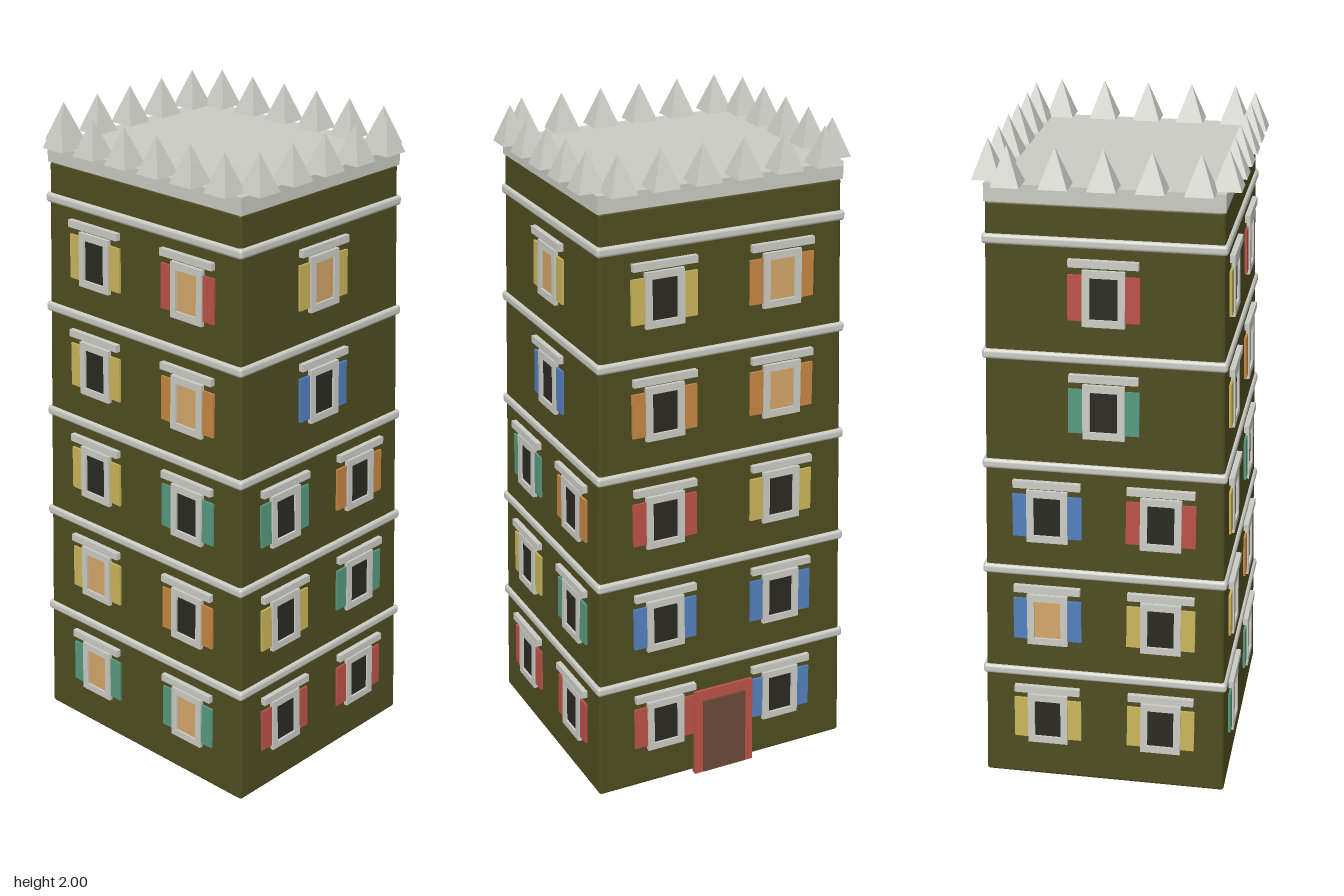
import * as THREE from 'three';
import { RoundedBoxGeometry } from 'three/addons/geometries/RoundedBoxGeometry.js';

const mat = (name, color) => {
  const m = new THREE.MeshStandardMaterial({ color });
  m.name = name;
  return m;
};

export function createModel() {
  const wall = mat('oliveWall', 0x4f4d20);
  const trim = mat('paleStone', 0xcbcbc5);
  const dark = mat('darkPane', 0x2a2a22);
  const lit = mat('litPane', 0xd3a567);
  const wood = mat('brownDoor', 0x6a4a38);
  const shutterMats = {
    y: mat('yellowPaint', 0xc9b45a), r: mat('redPaint', 0xbb5148), o: mat('orangePaint', 0xc68542),
    t: mat('tealPaint', 0x56997f), b: mat('bluePaint', 0x5280bc),
  };

  const tower = new THREE.Group();
  tower.name = 'tower';
  tower.position.z = 0.004;
  const model = new THREE.Group();
  model.add(tower);

  const add = (parent, name, geo, material, x = 0, y = 0, z = 0) => {
    const m = new THREE.Mesh(geo, material);
    m.name = name;
    m.position.set(x, y, z);
    parent.add(m);
    return m;
  };

  // Walls lean inwards with height
  const slopeX = 0.022, slopeZ = 0.019;
  const halfX = (y) => 0.42 - slopeX * (y - 0.01);
  const halfZ = (y) => 0.37 - slopeZ * (y - 0.01);

  // Tapered body
  const body = new RoundedBoxGeometry(0.84, 1.83, 0.74, 2, 0.01);
  body.translate(0, 0.925, 0);
  const p = body.attributes.position;
  for (let i = 0; i < p.count; i++) {
    const y = p.getY(i);
    p.setX(i, p.getX(i) * halfX(y) / 0.42);
    p.setZ(i, p.getZ(i) * halfZ(y) / 0.37);
  }
  add(tower, 'body', body, wall);

  // Floor bands and roof slab
  for (let i = 0; i < 5; i++) {
    const y = 0.37 + 0.34 * i;
    add(tower, 'floorBand', new RoundedBoxGeometry(2 * halfX(y) + 0.018, 0.03, 2 * halfZ(y) + 0.018, 2, 0.01), trim, 0, y, 0);
  }
  add(tower, 'roofSlab', new THREE.BoxGeometry(0.768, 0.052, 0.674), trim, 0, 1.863, 0);

  // Pyramid spikes around the roof edge
  const spike = new THREE.ConeGeometry(0.041 * Math.SQRT2, 0.111, 4).rotateY(Math.PI / 4).toNonIndexed();
  spike.computeVertexNormals();
  for (const s of [-1, 1]) {
    for (let i = 0; i < 6; i++) add(tower, 'roofSpike', spike, trim, (i - 2.5) * 0.128, 1.9445, s * 0.335);
    for (let i = 0; i < 5; i++) add(tower, 'roofSpike', spike, trim, s * 0.384, 1.9445, (i - 2) * 0.134);
  }

  // Window parts, shared by every window
  const rect = (T, w, h) => {
    const s = new T();
    s.moveTo(-w / 2, -h / 2);
    s.lineTo(w / 2, -h / 2);
    s.lineTo(w / 2, h / 2);
    s.lineTo(-w / 2, h / 2);
    s.closePath();
    return s;
  };
  const frameShape = rect(THREE.Shape, 0.122, 0.165);
  frameShape.holes.push(rect(THREE.Path, 0.08, 0.122));
  const frameGeo = new THREE.ExtrudeGeometry(frameShape, { depth: 0.012, bevelEnabled: false });
  const paneGeo = new THREE.BoxGeometry(0.082, 0.124, 0.006);
  const shutterGeo = new THREE.BoxGeometry(0.044, 0.134, 0.008);
  const lintelGeo = new THREE.BoxGeometry(0.2, 0.022, 0.016);

  // Code: shutter colour, then * where the pane is lit
  function makeWindow(code) {
    const g = new THREE.Group();
    g.name = 'window';
    add(g, 'frame', frameGeo, trim);
    add(g, 'pane', paneGeo, code[1] === '*' ? lit : dark, 0, 0, 0.002);
    for (const s of [-1, 1]) add(g, 'shutter', shutterGeo, shutterMats[code[0]], s * 0.081, 0, 0.003);
    add(g, 'lintel', lintelGeo, trim, 0, 0.102, 0.008);
    return g;
  }

  // Sides, with windows listed from the ground floor up, left to right as seen from outside
  const sides = [
    { name: 'frontSide', turn: 0, half: halfZ, slope: slopeZ, spread: 0.198,
      floors: [['t*', 't*'], ['y*', 'o'], ['y', 't'], ['y', 'o*'], ['y', 'r*']] },
    { name: 'leftSide', turn: Math.PI / 2, half: halfX, slope: slopeX, spread: 0.174,
      floors: [['r', 'r'], ['y', 't'], ['t', 'o'], ['b'], ['y*']] },
    { name: 'backSide', turn: Math.PI, half: halfZ, slope: slopeZ, spread: 0.198,
      floors: [['r', 'b'], ['b', 'b'], ['r', 'y'], ['o', 'o*'], ['y', 'o*']] },
    { name: 'rightSide', turn: -Math.PI / 2, half: halfX, slope: slopeX, spread: 0.174,
      floors: [['y', 'y'], ['b*', 'y'], ['b', 'r'], ['t'], ['r']] },
  ];
  for (const side of sides) {
    const g = new THREE.Group();
    g.name = side.name;
    g.rotation.y = side.turn;
    tower.add(g);
    side.floors.forEach((codes, floor) => {
      const y = 0.212 + 0.34 * floor;
      const spread = side.spread - 0.0028 * floor;
      codes.forEach((code, i) => {
        const w = makeWindow(code);
        w.position.set(codes.length === 1 ? 0 : (i ? spread : -spread), y, side.half(y));
        w.rotation.x = -side.slope;
        g.add(w);
      });
    });

    // Door at the middle of the back
    if (side.name === 'backSide') {
      const door = new THREE.Group();
      door.name = 'door';
      door.position.z = halfZ(0);
      door.rotation.x = -slopeZ;
      add(door, 'doorSurround', new THREE.BoxGeometry(0.2, 0.288, 0.02), shutterMats.r, 0, 0.144, 0);
      add(door, 'doorPanel', new THREE.BoxGeometry(0.146, 0.25, 0.008), wood, 0, 0.128, 0.011);
      g.add(door);
    }
  }
  return model;
}
